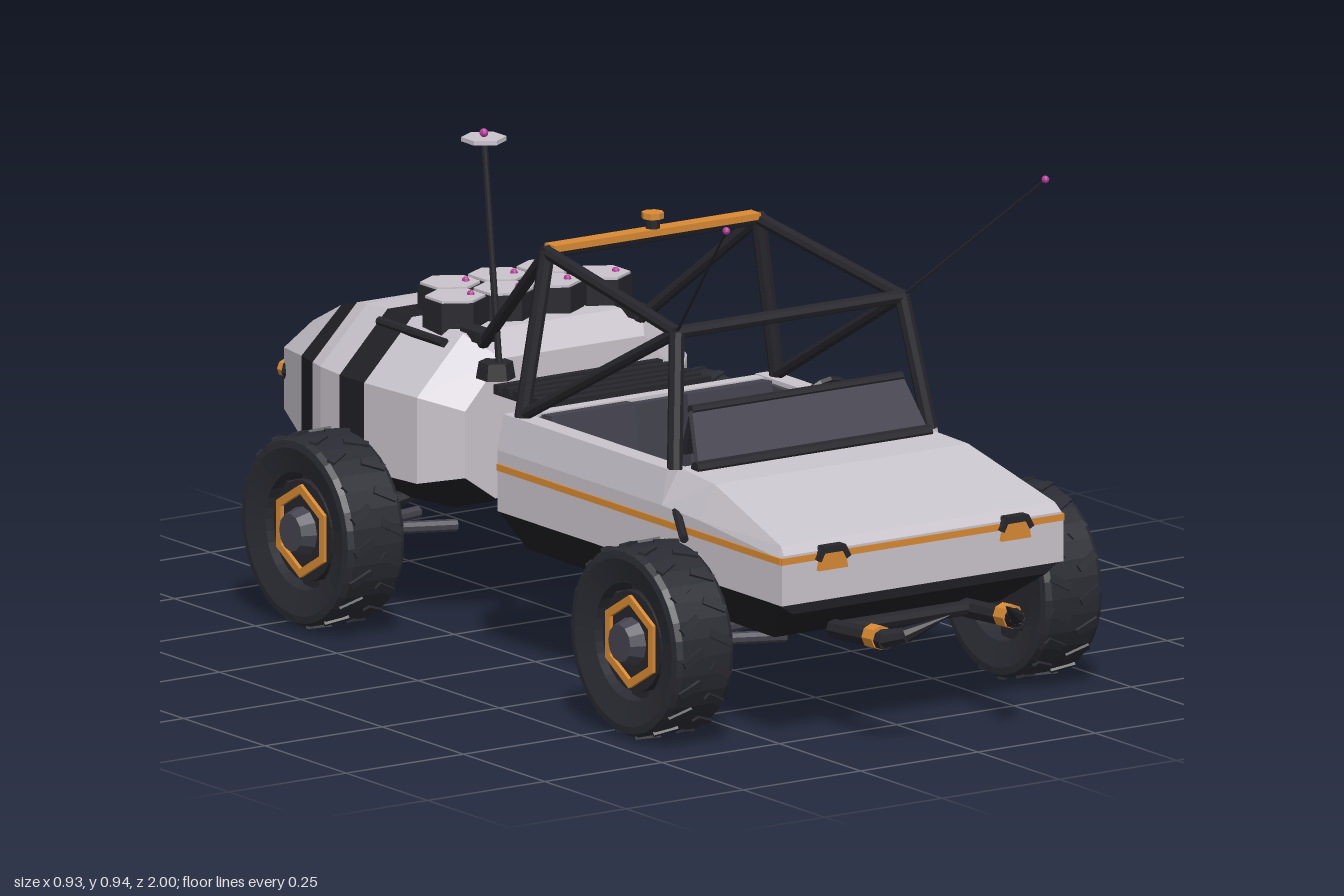
import * as THREE from 'three';

const mat = (name, color, double) => {
  const m = new THREE.MeshStandardMaterial({ color });
  m.name = name;
  m.flatShading = true;
  if (double) m.side = THREE.DoubleSide;
  return m;
};

export function createModel() {
  const white = mat('panelWhite', 0xc9c4cc), black = mat('hullBlack', 0x202025);
  const frame = mat('frameBlack', 0x26262c), rubber = mat('tyreRubber', 0x2b2c33);
  const grey = mat('interiorGrey', 0x45444f), orange = mat('trimOrange', 0xd98a33);
  const pink = mat('signalPink', 0xb83a9a);
  const model = new THREE.Group();
  model.name = 'rover';

  const add = (name, geo, m, pos = [0, 0, 0], rot = [0, 0, 0], parent = model) => {
    const mesh = new THREE.Mesh(geo, m);
    mesh.name = name;
    mesh.position.set(...pos);
    mesh.rotation.set(...rot);
    parent.add(mesh);
    return mesh;
  };
  const box = (name, size, pos, m, rot, parent) =>
    add(name, new THREE.BoxGeometry(...size), m, pos, rot, parent);
  // Round bar between two points, optionally tapered
  const rod = (name, a, b, r, m, r2 = r, sides = 8, parent = model) => {
    const A = new THREE.Vector3(...a), B = new THREE.Vector3(...b);
    const mesh = add(name, new THREE.CylinderGeometry(r2, r, A.distanceTo(B), sides), m, [0, 0, 0], [0, 0, 0], parent);
    mesh.position.copy(A).add(B).multiplyScalar(0.5);
    mesh.quaternion.setFromUnitVectors(new THREE.Vector3(0, 1, 0), B.sub(A).normalize());
    return mesh;
  };
  // Skin over cross-sections ordered front to back, one material slot per face
  const loft = (name, rings, mats, slot = () => 0) => {
    const tris = mats.map(() => []);
    const tri = (s, ...p) => p.forEach(v => tris[s].push(...v));
    const n = rings[0].length, last = rings.length - 1;
    for (let i = 0; i < last; i++) for (let j = 0; j < n; j++) {
      const k = (j + 1) % n, a = rings[i], b = rings[i + 1], s = slot(i, j);
      tri(s, a[j], b[j], b[k]);
      tri(s, a[j], b[k], a[k]);
    }
    for (let j = 1; j < n - 1; j++) {
      tri(0, rings[0][0], rings[0][j], rings[0][j + 1]);
      tri(0, rings[last][0], rings[last][j + 1], rings[last][j]);
    }
    const geo = new THREE.BufferGeometry();
    geo.setAttribute('position', new THREE.Float32BufferAttribute(tris.flat(), 3));
    let start = 0;
    tris.forEach((t, i) => { geo.addGroup(start, t.length / 3, i); start += t.length / 3; });
    geo.computeVertexNormals();
    return add(name, geo, mats);
  };
  const ring = (z, half) => [...half.map(([x, y]) => [x, y, z]),
    ...half.slice().reverse().map(([x, y]) => [-x, y, z])];

  // Front body: dark belly, hood, side walls
  loft('belly', [ring(0.82, [[0.27, 0.25], [0.3, 0.27]]), ring(0.72, [[0.24, 0.185], [0.3, 0.27]]),
    ring(-0.04, [[0.24, 0.195], [0.3, 0.27]])], [black]);
  const hoodRing = (z, yc, xt, yt) => ring(z, [[0.3, 0.27], [0.3, yc], [xt, yt]]);
  loft('hood', [hoodRing(0.83, 0.345, 0.296, 0.36), hoodRing(0.815, 0.355, 0.292, 0.375),
    hoodRing(0.58, 0.375, 0.27, 0.437), hoodRing(0.46, 0.38, 0.262, 0.443)], [white]);
  const wall = [[0.25, 0.27], [0.3, 0.27], [0.3, 0.38], [0.287, 0.443], [0.25, 0.443]];
  for (const s of [1, -1]) {
    const profile = s > 0 ? wall : wall.map(([x, y]) => [-x, y]).reverse();
    loft('sideWall', [0.46, -0.045].map(z => profile.map(([x, y]) => [x, y, z])), [white]);
    box('wallLining', [0.012, 0.16, 0.46], [s * 0.246, 0.355, 0.22], grey);
    box('sideStripe', [0.004, 0.012, 0.87], [s * 0.301, 0.35, 0.392], orange);
  }
  box('rearWall', [0.51, 0.17, 0.025], [0, 0.356, -0.032], white);
  box('rearLining', [0.5, 0.16, 0.015], [0, 0.355, -0.013], grey);
  box('cockpitFloor', [0.5, 0.015, 0.5], [0, 0.272, 0.22], grey);
  box('dashboard', [0.48, 0.16, 0.04], [0, 0.35, 0.44], grey);
  box('noseStripe', [0.602, 0.012, 0.004], [0, 0.35, 0.83], orange);

  // Windscreen
  const screen = new THREE.Shape([[-0.245, 0], [0.245, 0], [0.225, 0.105], [-0.225, 0.105]].map(p => new THREE.Vector2(...p)));
  add('windscreen', new THREE.ExtrudeGeometry(screen, { depth: 0.012, bevelEnabled: false }), grey, [0, 0.44, 0.485], [-0.5, 0, 0]);
  rod('screenSill', [-0.25, 0.445, 0.49], [0.25, 0.445, 0.49], 0.012, frame);
  rod('screenTopRail', [-0.225, 0.537, 0.44], [0.225, 0.537, 0.44], 0.009, frame);

  // Steering wheel and display
  rod('steeringColumn', [0.13, 0.41, 0.43], [0.13, 0.47, 0.35], 0.008, frame);
  add('steeringWheel', new THREE.TorusGeometry(0.05, 0.007, 6, 16), frame, [0.13, 0.48, 0.34], [0.35, 0, 0]);
  box('steeringSpoke', [0.1, 0.01, 0.008], [0.13, 0.48, 0.34], frame);
  rod('displayPost', [-0.13, 0.41, 0.43], [-0.13, 0.46, 0.36], 0.008, frame);
  box('displayCase', [0.095, 0.075, 0.012], [-0.13, 0.47, 0.36], frame, [0.35, 0, 0]);
  box('displayScreen', [0.085, 0.065, 0.004], [-0.13, 0.469, 0.352], pink, [0.35, 0, 0]);

  for (const s of [1, -1]) {
    // Seats
    box('seatBase', [0.18, 0.05, 0.17], [s * 0.145, 0.3, 0.1], grey);
    box('seatBack', [0.18, 0.16, 0.03], [s * 0.145, 0.365, 0.02], grey, [-0.1, 0, 0]);
    // Headlights
    const lamp = new THREE.Shape([[-0.031, 0], [0.031, 0], [0.024, 0.036], [-0.024, 0.036]].map(p => new THREE.Vector2(...p)));
    add('headlight', new THREE.ExtrudeGeometry(lamp, { depth: 0.012, bevelEnabled: false }), orange, [s * 0.195, 0.325, 0.826]);
    box('headlightBrow', [0.046, 0.012, 0.022], [s * 0.195, 0.362, 0.83], frame);
    for (const t of [1, -1])
      box('headlightBrowEnd', [0.01, 0.024, 0.02], [s * 0.195 + t * 0.026, 0.354, 0.83], frame, [0, 0, t * 0.5]);
    // Tow horns
    rod('hornArm', [s * 0.14, 0.195, 0.76], [s * 0.14, 0.205, 0.92], 0.018, frame);
    rod('hornCollar', [s * 0.14, 0.205, 0.875], [s * 0.14, 0.207, 0.905], 0.022, orange);
    rod('hornCurve', [s * 0.14, 0.206, 0.91], [s * 0.118, 0.218, 0.95], 0.018, frame, 0.014);
    rod('hornTip', [s * 0.118, 0.218, 0.95], [s * 0.06, 0.255, 1], 0.014, frame, 0.001);
    // Roll cage sides
    const f = [s * 0.24, 0.675, 0.42], t = [s * 0.225, 0.735, 0];
    rod('frontPillar', [s * 0.272, 0.44, 0.46], f, 0.014, frame);
    rod('rearPillar', [s * 0.272, 0.44, -0.01], t, 0.014, frame);
    rod('topRail', f, t, 0.012, frame);
    rod('sideBrace', f, [s * 0.27, 0.445, -0.01], 0.011, frame);
    rod('rearBrace', t, [s * 0.165, 0.5, -0.29], 0.011, frame);
    box('braceFoot', [0.035, 0.02, 0.06], [s * 0.165, 0.52, -0.3], frame);
    // Whip antennas
    rod('whipAntenna', f, [s * 0.34, 0.93, 0.717], 0.003, frame, 0.002, 6);
    add('antennaTip', new THREE.SphereGeometry(0.007, 8, 6), pink, [s * 0.34, 0.93, 0.717]);
    rod('frontMudArm', [s * 0.285, 0.38, 0.48], [s * 0.342, 0.35, 0.59], 0.008, frame);
  }
  rod('hornCrossbar', [-0.14, 0.2, 0.78], [0.14, 0.2, 0.78], 0.014, frame);
  rod('frontCageBar', [-0.245, 0.675, 0.42], [0.245, 0.675, 0.42], 0.012, frame);
  rod('topCageBar', [-0.235, 0.735, 0], [0.235, 0.735, 0], 0.012, frame);
  box('topBarStrip', [0.44, 0.012, 0.03], [0, 0.742, 0], orange);
  rod('beaconStem', [0, 0.74, 0], [0, 0.768, 0], 0.013, frame);
  rod('beaconCap', [0, 0.766, 0], [0, 0.777, 0], 0.02, orange);

  // Articulated coupling and slatted bridge
  const bellows = (z, len, r, m, name) =>
    add(name, new THREE.CylinderGeometry(r, r, len, 12), m, [0, 0.31, z], [Math.PI / 2, 0, 0]);
  bellows(-0.145, 0.23, 0.052, frame, 'coupling');
  for (let i = 0; i < 5; i++) bellows(-0.07 - i * 0.04, 0.02, 0.062, frame, 'bellowsFold');
  for (const z of [-0.112, -0.208]) bellows(z, 0.01, 0.066, orange, 'couplingRing');
  box('bridgePlate', [0.34, 0.008, 0.18], [0, 0.428, -0.155], frame);
  for (let i = 0; i < 6; i++) box('bridgeSlat', [0.35, 0.012, 0.016], [0, 0.437, -0.08 - i * 0.03], frame);
  for (const s of [1, -1]) for (const z of [-0.08, -0.22])
    rod('bridgePost', [s * 0.12, 0.43, z], [s * 0.1, 0.32, z], 0.007, frame);

  // Rear pod with dark belts
  const pod = (z, w, yt, yc, ym, yb) => ring(z, [[w * 0.72, yb], [w, ym], [w, yc], [w * 0.66, yt]]);
  loft('rearPod', [
    pod(-0.245, 0.23, 0.485, 0.4, 0.28, 0.235), pod(-0.31, 0.288, 0.522, 0.42, 0.265, 0.212),
    pod(-0.455, 0.3, 0.525, 0.42, 0.262, 0.205), pod(-0.53, 0.3, 0.525, 0.42, 0.262, 0.205),
    pod(-0.6, 0.293, 0.52, 0.42, 0.262, 0.205), pod(-0.645, 0.278, 0.512, 0.417, 0.262, 0.206),
    pod(-0.72, 0.25, 0.49, 0.41, 0.263, 0.21), pod(-0.875, 0.18, 0.425, 0.385, 0.275, 0.245)],
  [white, black], (i, j) => (i === 2 || i === 5 || [0, 6, 7].includes(j) ? 1 : 0));
  rod('tailSpike', [0, 0.32, -0.86], [0, 0.268, -1], 0.024, frame, 0.001);
  for (const s of [1, -1]) {
    rod('tailLampMount', [s * 0.165, 0.345, -0.83], [s * 0.17, 0.345, -0.87], 0.021, frame);
    rod('tailLamp', [s * 0.17, 0.345, -0.862], [s * 0.17, 0.345, -0.888], 0.016, orange);
    rod('rackRail', [s * 0.215, 0.505, -0.33], [s * 0.215, 0.505, -0.53], 0.009, frame);
  }

  // Hexagonal canisters: a row of four and a row of three
  for (const [count, z] of [[4, -0.385], [3, -0.475]]) for (let i = 0; i < count; i++) {
    const x = (i - (count - 1) / 2) * 0.103;
    add('canister', new THREE.CylinderGeometry(0.057, 0.057, 0.06, 6), frame, [x, 0.538, z]);
    add('canisterLid', new THREE.CylinderGeometry(0.053, 0.053, 0.005, 6), white, [x, 0.57, z]);
    add('canisterLight', new THREE.SphereGeometry(0.007, 8, 6), pink, [x + 0.025, 0.573, z + 0.012]);
  }

  // Sensor mast
  rod('mast', [-0.17, 0.46, -0.225], [-0.18, 0.885, -0.26], 0.006, frame);
  add('mastDish', new THREE.CylinderGeometry(0.04, 0.04, 0.008, 6), white, [-0.18, 0.882, -0.26]);
  add('mastLight', new THREE.SphereGeometry(0.008, 8, 6), pink, [-0.18, 0.893, -0.26]);
  add('mastBase', new THREE.CylinderGeometry(0.03, 0.035, 0.03, 6), frame, [-0.172, 0.47, -0.235]);

  // Wheels and suspension, built for one side and turned for the other
  const tyre = [[0.105, -0.05], [0.15, -0.062], [0.163, -0.06], [0.169, -0.05], [0.169, 0.05],
    [0.163, 0.06], [0.15, 0.062], [0.105, 0.05], [0.105, -0.05]].map(p => new THREE.Vector2(...p));
  const hexRing = new THREE.Shape(), hexHole = new THREE.Path();
  for (let i = 0; i < 6; i++) {
    const a = i * Math.PI / 3 + Math.PI / 2, c = Math.cos(a), s = Math.sin(a);
    hexRing[i ? 'lineTo' : 'moveTo'](c * 0.084, s * 0.084);
    hexHole[i ? 'lineTo' : 'moveTo'](c * 0.068, s * 0.068);
  }
  hexRing.holes.push(hexHole);
  const axis = [0, 0, -Math.PI / 2];
  for (const s of [1, -1]) for (const z of [0.565, -0.447]) {
    const corner = new THREE.Group(), wheel = new THREE.Group();
    corner.name = 'wheelCorner';
    wheel.name = 'wheel';
    corner.position.z = z;
    corner.rotation.y = s > 0 ? 0 : Math.PI;
    wheel.position.set(0.393, 0.174, 0);
    corner.add(wheel);
    model.add(corner);
    add('tyre', new THREE.LatheGeometry(tyre, 32), rubber, [0, 0, 0], axis, wheel);
    add('rim', new THREE.CylinderGeometry(0.09, 0.09, 0.07, 24), frame, [0.008, 0, 0], axis, wheel);
    add('rimRing', new THREE.ExtrudeGeometry(hexRing, { depth: 0.008, bevelEnabled: false }), orange, [0.042, 0, 0], [0, Math.PI / 2, 0], wheel);
    add('hubCap', new THREE.CylinderGeometry(0.034, 0.045, 0.03, 12), grey, [0.055, 0, 0], axis, wheel);
    for (let i = 0; i < 6; i++) {
      const a = i * Math.PI / 3;
      box('spoke', [0.05, 0.03, 0.05], [0, Math.cos(a) * 0.095, Math.sin(a) * 0.095], frame, [a, 0, 0], wheel);
    }
    for (let i = 0; i < 36; i++) {
      const a = i * Math.PI / 18, side = i % 2 ? 1 : -1;
      const tread = new THREE.Group();
      tread.name = 'treadLug';
      tread.rotation.x = a;
      wheel.add(tread);
      box('lug', [0.045, 0.008, 0.014], [side * 0.03, 0.169, 0], rubber, [0, side * 0.5, 0], tread);
    }
    rod('axle', [0.2, 0.21, 0], [0.4, 0.175, 0], 0.014, frame, 0.014, 8, corner);
    box('hubCarrier', [0.035, 0.055, 0.05], [0.315, 0.18, 0], grey, [0, 0, 0], corner);
    for (const t of [1, -1])
      rod('lowerArm', [0.15, 0.157, t * 0.06], [0.315, 0.162, t * 0.012], 0.011, grey, 0.011, 8, corner);
    rod('shock', [0.27, 0.27, 0], [0.325, 0.2, 0], 0.012, frame, 0.012, 8, corner);
    rod('shockSpring', [0.28, 0.262, 0], [0.312, 0.222, 0], 0.02, orange, 0.02, 8, corner);
  }
  return model;
}
